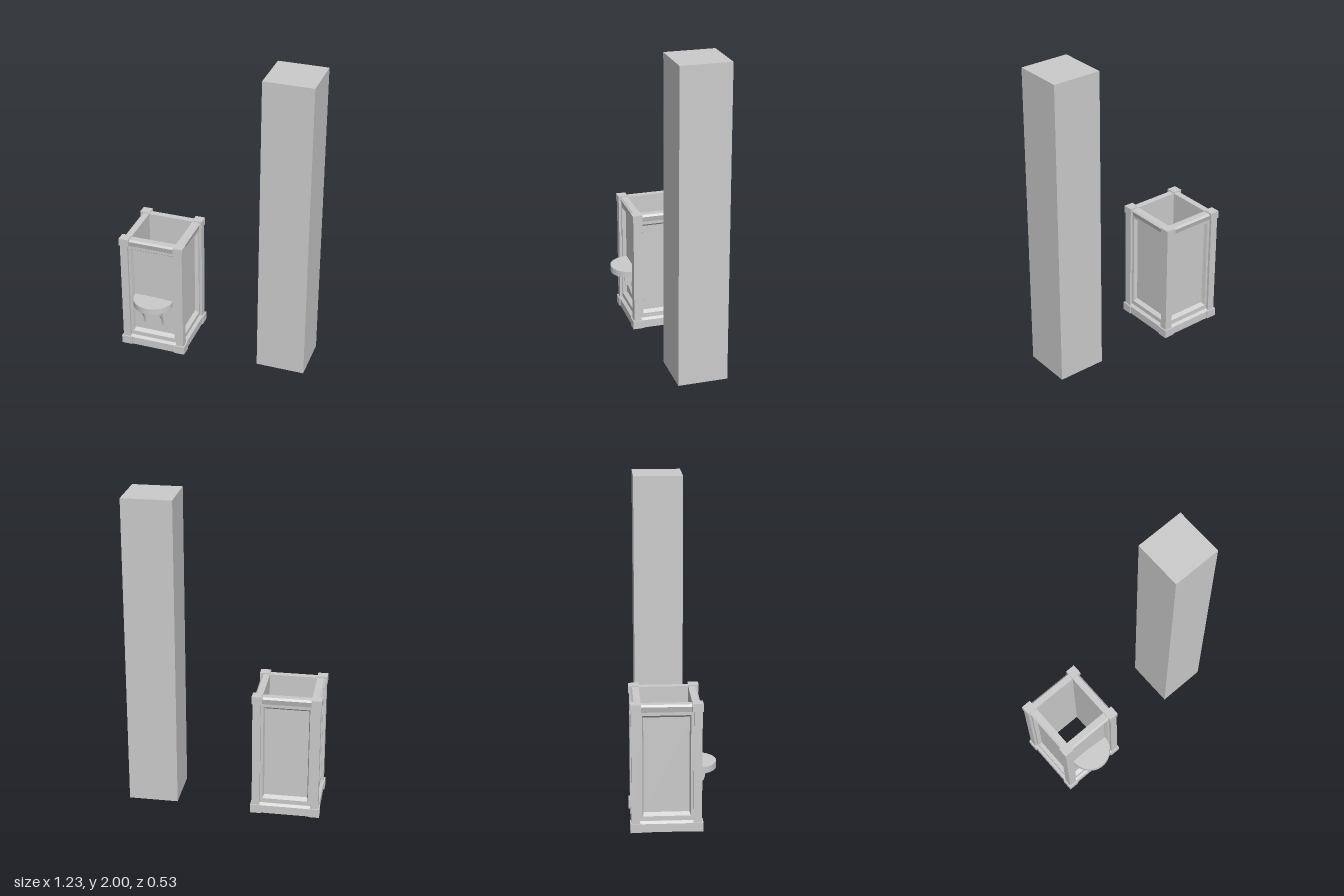
import * as THREE from 'three';

const mat = new THREE.MeshStandardMaterial({ color: 0xcccccc, flatShading: true, side: THREE.DoubleSide });

function add(parent, name, geometry, x = 0, y = 0, z = 0) {
  const mesh = new THREE.Mesh(geometry, mat);
  mesh.name = name;
  mesh.position.set(x, y, z);
  parent.add(mesh);
  return mesh;
}

// Box given by its centre line and its bottom and top height
function block(parent, name, size, y0, y1, x, z) {
  return add(parent, name, new THREE.BoxGeometry(size, y1 - y0, size), x, (y0 + y1) / 2, z);
}

// Nested rectangles [halfWidth, bottom, top, depth] joined by sloped strips, closed by the last one
function steppedPanel(rings) {
  const pos = [];
  const corners = rings.map(([w, b, t, d]) => [[-w, b, d], [w, b, d], [w, t, d], [-w, t, d]]);
  const quad = (a, b, c, d) => pos.push(...a, ...b, ...c, ...a, ...c, ...d);
  for (let i = 0; i < rings.length - 1; i++) {
    const o = corners[i], n = corners[i + 1];
    for (let k = 0; k < 4; k++) quad(o[k], o[(k + 1) % 4], n[(k + 1) % 4], n[k]);
  }
  quad(...corners[corners.length - 1]);
  const g = new THREE.BufferGeometry();
  g.setAttribute('position', new THREE.Float32BufferAttribute(pos, 3));
  g.computeVertexNormals();
  return g;
}

// Profile in (depth, height), extruded along x and centred
function rail(profile, length) {
  const shape = new THREE.Shape(profile.map(([d, y]) => new THREE.Vector2(d, y)));
  const g = new THREE.ExtrudeGeometry(shape, { depth: length, bevelEnabled: false });
  return g.translate(0, 0, -length / 2).rotateY(-Math.PI / 2);
}

function createSide(i) {
  const side = new THREE.Group();
  side.name = 'side' + i;
  side.rotation.y = (i * Math.PI) / 2;
  // Recessed panel with bevelled reveal
  add(side, 'panel', steppedPanel([
    [0.17, 0.05, 0.765, 0.193],
    [0.144, 0.095, 0.73, 0.193],
    [0.137, 0.112, 0.712, 0.168],
  ]));
  add(side, 'innerWall', new THREE.BoxGeometry(0.302, 0.75, 0.004), 0, 0.4, 0.153);
  // Mouldings along the top and bottom edges
  add(side, 'topRail', rail([[0.151, 0.75], [0.193, 0.75], [0.203, 0.785], [0.192, 0.797], [0.151, 0.797]], 0.33));
  add(side, 'baseRail', rail([[0.151, 0], [0.212, 0], [0.212, 0.053], [0.196, 0.066], [0.151, 0.066]], 0.33));
  return side;
}

function createShelf() {
  const shelf = new THREE.Group();
  shelf.name = 'shelf';
  // Half-round top
  const half = new THREE.Shape();
  half.moveTo(0.133, -0.02);
  half.absarc(0, 0, 0.133, 0, Math.PI, false);
  half.lineTo(-0.133, -0.02);
  const top = new THREE.ExtrudeGeometry(half, { depth: 0.042, bevelEnabled: false, curveSegments: 12 });
  top.rotateX(Math.PI / 2);
  add(shelf, 'shelfTop', top, 0, 0.375, 0.178);

  // Thin curved brackets
  const s = new THREE.Shape();
  s.moveTo(0.165, 0.335);
  s.lineTo(0.225, 0.335);
  s.bezierCurveTo(0.243, 0.315, 0.243, 0.28, 0.222, 0.262);
  s.bezierCurveTo(0.205, 0.245, 0.2, 0.215, 0.19, 0.182);
  s.bezierCurveTo(0.178, 0.2, 0.185, 0.235, 0.19, 0.25);
  s.bezierCurveTo(0.192, 0.275, 0.185, 0.295, 0.165, 0.305);
  for (const x of [-0.063, 0.063]) {
    const g = new THREE.ExtrudeGeometry(s, { depth: 0.008, bevelEnabled: false, curveSegments: 6 });
    g.translate(0, 0, -0.004).rotateY(-Math.PI / 2);
    add(shelf, 'bracket', g, x);
  }
  return shelf;
}

export function createModel() {
  const model = new THREE.Group();
  model.name = 'boothAndPillar';

  // Open panelled booth
  const booth = new THREE.Group();
  booth.name = 'booth';
  booth.position.set(-0.397, 0, -0.046);
  for (let i = 0; i < 4; i++) booth.add(createSide(i));
  for (const sx of [-1, 1]) for (const sz of [-1, 1]) {
    block(booth, 'cornerBase', 0.07, 0, 0.056, sx * 0.184, sz * 0.184);
    block(booth, 'cornerPost', 0.05, 0.05, 0.76, sx * 0.185, sz * 0.185);
    block(booth, 'cornerCap', 0.064, 0.755, 0.804, sx * 0.183, sz * 0.183);
  }
  booth.add(createShelf());
  model.add(booth);

  // Tall plain pillar
  block(model, 'pillar', 0.314, 0, 2, 0.458, -0.048);
  return model;
}
